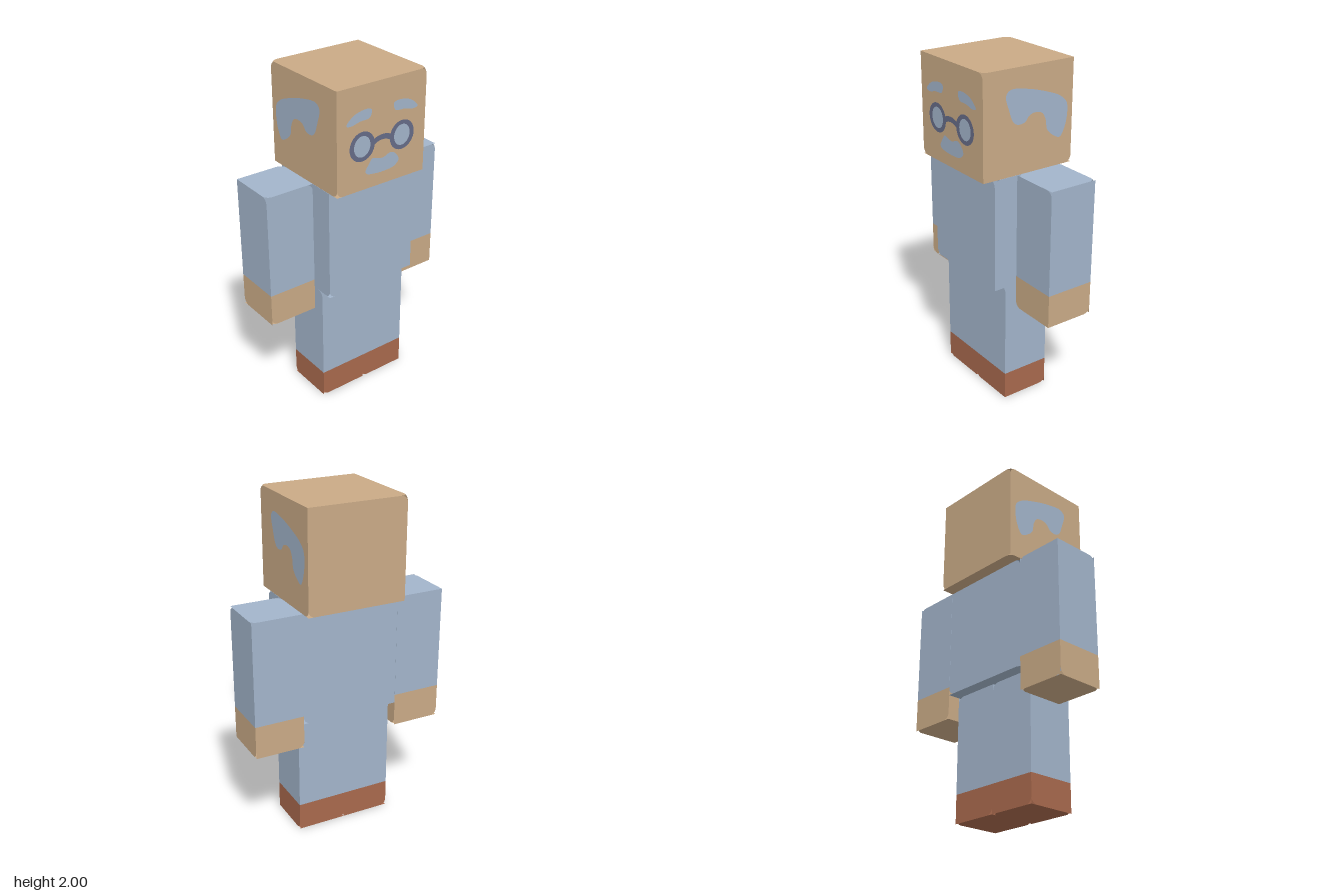
import * as THREE from 'three';

const mat = (name, color) => {
  const m = new THREE.MeshStandardMaterial({ color, side: THREE.DoubleSide });
  m.name = name;
  return m;
};

// Rectangle u0..u1, v0..v1 with one diagonal pair of rounded corners.
// 'TR' rounds top right + bottom left, 'TL' rounds top left + bottom right;
// top / bottom tell which ends of the panel keep their rounding.
function panelShape(u0, u1, v0, v1, diag, top = true, bottom = true, r = 0.04) {
  const tr = diag === 'TR' && top ? r : 0, bl = diag === 'TR' && bottom ? r : 0;
  const tl = diag === 'TL' && top ? r : 0, br = diag === 'TL' && bottom ? r : 0;
  const s = new THREE.Shape();
  s.moveTo(u0 + bl, v0);
  s.lineTo(u1 - br, v0);
  if (br) s.absarc(u1 - br, v0 + br, br, -Math.PI / 2, 0);
  s.lineTo(u1, v1 - tr);
  if (tr) s.absarc(u1 - tr, v1 - tr, tr, 0, Math.PI / 2);
  s.lineTo(u0 + tl, v1);
  if (tl) s.absarc(u0 + tl, v1 - tl, tl, Math.PI / 2, Math.PI);
  s.lineTo(u0, v0 + bl);
  if (bl) s.absarc(u0 + bl, v0 + bl, bl, Math.PI, Math.PI * 1.5);
  return s;
}

// Which diagonal is rounded on each face
const CORE = { front: 'TR', back: 'TR', left: 'TL', right: 'TL', top: 'TL', bottom: 'TR' };
const LIMB = { front: 'TR', back: 'TL', left: 'TL', right: 'TR', top: 'TR', bottom: 'TL' };

// Block of six panels; cut is the height of the lower colour band
function block(name, [x, y, z], [w, h, d], style, upper, lower = upper, cut = 0) {
  const g = new THREE.Group();
  g.name = name;
  const H = Math.PI / 2;
  const add = (label, shape, material, pos, rx, ry) => {
    const m = new THREE.Mesh(new THREE.ShapeGeometry(shape, 6), material);
    m.name = label;
    m.position.set(...pos);
    m.rotation.set(rx, ry, 0);
    g.add(m);
  };
  const sides = [
    ['front', w, [0, 0, d / 2], 0], ['back', w, [0, 0, -d / 2], Math.PI],
    ['left', d, [w / 2, 0, 0], H], ['right', d, [-w / 2, 0, 0], -H],
  ];
  for (const [side, width, pos, ry] of sides) {
    const u = width / 2, v = h / 2;
    add(side + 'Panel', panelShape(-u, u, cut - v, v, style[side], true, !cut), upper, pos, 0, ry);
    if (cut) add(side + 'LowerPanel', panelShape(-u, u, -v, cut - v, style[side], false, true), lower, pos, 0, ry);
  }
  add('topPanel', panelShape(-w / 2, w / 2, -d / 2, d / 2, style.top), upper, [0, h / 2, 0], -H, 0);
  add('bottomPanel', panelShape(-w / 2, w / 2, -d / 2, d / 2, style.bottom), lower, [0, -h / 2, 0], H, 0);
  g.position.set(x, y, z);
  return g;
}

// Smooth closed outline through a few points, optionally mirrored
function blob(points, mirror = 1) {
  const pts = points.map(([u, v]) => new THREE.Vector3(u * mirror, v, 0));
  const curve = new THREE.CatmullRomCurve3(pts, true, 'centripetal');
  return new THREE.Shape(curve.getPoints(64).slice(0, -1).map((p) => new THREE.Vector2(p.x, p.y)));
}

export function createModel() {
  const skin = mat('skin', 0xc9aa86);
  const cloth = mat('pale blue', 0xa2b4ca);
  const boot = mat('boot brown', 0xa8694d);
  const frame = mat('glasses frame', 0x666c87);

  const model = new THREE.Group();
  model.name = 'blockFigure';
  const S = 0.592, Q = 0.296;

  // Head and body
  model.add(block('head', [0, 1.704, 0], [S, S, S], CORE, skin));
  model.add(block('torso', [0, 1.076, 0], [S, 0.662, 0.444], CORE, cloth));

  // Arms with hands, legs with boots
  for (const [side, s] of [['left', 1], ['right', -1]]) {
    model.add(block(side + 'Arm', [s * 0.444, 1.003, -0.075], [Q, 0.808, Q], LIMB, cloth, skin, 0.196));
    model.add(block(side + 'Leg', [s * 0.148, 0.3725, 0], [Q, 0.745, Q], LIMB, cloth, boot, 0.166));
  }

  // Painted details as flat plates just off the head
  const plate = (name, shape, material, x, z, ry = 0) => {
    const m = new THREE.Mesh(new THREE.ShapeGeometry(shape, 24), material);
    m.name = name;
    m.position.set(x, 0, z);
    m.rotation.y = ry;
    model.add(m);
  };
  const face = Q + 0.003;

  const brow = [[0.074, 1.855], [0.106, 1.866], [0.19, 1.848], [0.238, 1.802],
    [0.21, 1.793], [0.15, 1.806], [0.085, 1.814]];
  const hair = [[-0.153, 1.86], [-0.122, 1.889], [-0.005, 1.875], [0.1, 1.846], [0.206, 1.804],
    [0.254, 1.76], [0.259, 1.687], [0.243, 1.618], [0.212, 1.57], [0.169, 1.586], [0.122, 1.63],
    [0.111, 1.687], [0.085, 1.73], [0.032, 1.74], [-0.005, 1.724], [-0.026, 1.698],
    [-0.074, 1.692], [-0.106, 1.713], [-0.132, 1.777]];

  for (const [side, s] of [['left', 1], ['right', -1]]) {
    plate(side + 'Eyebrow', blob(brow, s), cloth, 0, face);
    plate(side + 'SideHair', blob(hair, s), cloth, s * face, 0, s * Math.PI / 2);

    // Lens and its rim
    const lens = new THREE.Shape().absellipse(0, 1.662, 0.054, 0.06, 0, Math.PI * 2);
    const rim = new THREE.Shape().absellipse(0, 1.662, 0.083, 0.084, 0, Math.PI * 2);
    rim.holes.push(new THREE.Path().absellipse(0, 1.662, 0.054, 0.06, 0, Math.PI * 2, true));
    plate(side + 'Lens', lens, cloth, s * 0.134, face);
    plate(side + 'Rim', rim, frame, s * 0.134, face);
  }

  // Arched bridge of the glasses
  const bridge = new THREE.Shape();
  bridge.moveTo(-0.065, 1.683);
  bridge.quadraticCurveTo(0, 1.718, 0.065, 1.683);
  bridge.lineTo(0.06, 1.65);
  bridge.quadraticCurveTo(0, 1.69, -0.06, 1.65);
  plate('bridge', bridge, frame, 0, face + 0.001);

  // Moustache
  plate('moustache', blob([[-0.111, 1.512], [-0.085, 1.555], [-0.065, 1.578], [-0.035, 1.571],
    [0.005, 1.563], [0.06, 1.58], [0.098, 1.558], [0.115, 1.522], [0.085, 1.492],
    [0.01, 1.482], [-0.06, 1.486], [-0.1, 1.495]]), cloth, 0, face);

  return model;
}
